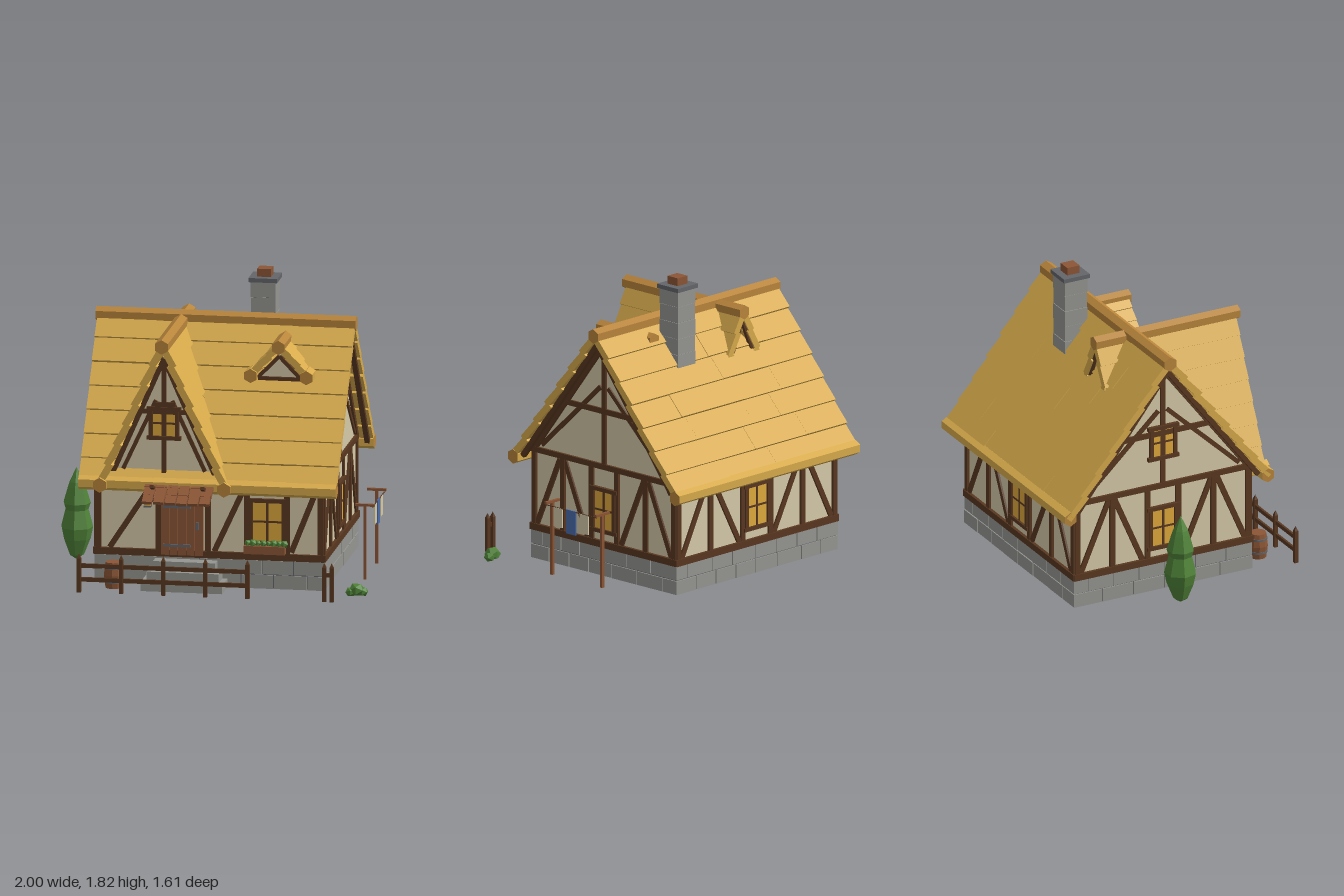
import * as THREE from 'three';

const mat = (name, color) => Object.assign(new THREE.MeshStandardMaterial({ color }), { name });
const M = {
  straw: mat('straw', 0xd8ab4c), ridge: mat('ridgeStraw', 0xb9853b), timber: mat('timber', 0x593820),
  plaster: mat('plaster', 0xd6caa9), stone: mat('stone', 0x959591), dark: mat('darkStone', 0x64666a),
  wood: mat('redWood', 0x8c5636), green: mat('leaves', 0x4f8238), glass: mat('windowGlow', 0xdfa93c),
  blue: mat('blueCloth', 0x4a6bab),
};
let seed = 7;
const rnd = (a, b) => { seed = (seed * 16807) % 2147483647; return a + (b - a) * seed / 2147483647; };

// Hard facets for low-poly shapes
const flat = (g) => { const f = g.index ? g.toNonIndexed() : g; f.computeVertexNormals(); return f; };
function add(parent, name, geo, m, x = 0, y = 0, z = 0) {
  const mesh = new THREE.Mesh(geo, m);
  mesh.name = name;
  mesh.position.set(x, y, z);
  parent.add(mesh);
  return mesh;
}
function group(parent, name, x = 0, y = 0, z = 0) {
  const g = new THREE.Group();
  g.name = name;
  g.position.set(x, y, z);
  parent.add(g);
  return g;
}
const box = (p, name, m, w, h, d, x, y, z) => add(p, name, new THREE.BoxGeometry(w, h, d), m, x, y, z);
// Box running between two points
function beam(p, name, m, a, b, w, d) {
  const A = new THREE.Vector3(...a), B = new THREE.Vector3(...b), dir = B.clone().sub(A);
  const mesh = box(p, name, m, w, dir.length(), d, ...A.clone().add(B).multiplyScalar(0.5).toArray());
  mesh.quaternion.setFromUnitVectors(new THREE.Vector3(0, 1, 0), dir.normalize());
  return mesh;
}
const strut = (p, x1, y1, x2, y2, w = 0.035, d = 0.03) => beam(p, 'timber', M.timber, [x1, y1, 0], [x2, y2, 0], w, d);
// Hexagonal pole along z with end caps in the ridge colour
function hexPole(p, name, m, r, z0, z1, x, y) {
  const g = flat(new THREE.CylinderGeometry(r, r, z1 - z0, 6).rotateX(Math.PI / 2));
  return add(p, name, g, [m, M.ridge, M.ridge], x, y, (z0 + z1) / 2);
}
function prism(p, name, m, pts, depth) {
  const g = new THREE.ExtrudeGeometry(new THREE.Shape(pts.map((q) => new THREE.Vector2(...q))), { depth, bevelEnabled: false });
  return add(p, name, g, m);
}

// Overlapping thatch courses on both slopes, apex at the group origin, ridge along z
function gableRoof(p, name, half, rise, rows, pieces, z0, z1) {
  const g = group(p, name), L = Math.hypot(half, rise), step = L / rows;
  for (const s of [-1, 1]) {
    const slope = group(g, 'slope');
    slope.rotation.z = -s * Math.atan2(rise, half);
    for (let i = 0; i < rows; i++) {
      let a = z0;
      for (let k = 1; k <= pieces; k++) {
        const b = k === pieces ? z1 : z0 + (z1 - z0) * (k + rnd(-0.25, 0.25)) / pieces;
        const c = box(slope, 'thatchCourse', M.straw, step * 1.12, 0.042, b - a, s * step * (i + 0.5), rnd(0, 0.005), (a + b) / 2);
        c.rotation.z = s * 0.1;
        a = b;
      }
    }
  }
  return g;
}

// Window with frame, panes and glazing bars, facing +z
function windowUnit(p, x, y, w, h) {
  const g = group(p, 'window', x, y, 0), f = 0.024;
  box(g, 'panes', M.glass, w, h, 0.008, 0, 0, 0.006);
  for (const s of [-1, 1]) {
    box(g, 'jamb', M.timber, f, h + f, 0.044, s * w / 2, 0, 0);
    box(g, 'rail', M.timber, w + f * 2, f, 0.048, 0, s * h / 2, 0);
  }
  box(g, 'mullion', M.timber, 0.014, h, 0.028, 0, 0, 0);
  box(g, 'crossbar', M.timber, w, 0.012, 0.026, 0, 0, 0);
}

// Timber-framed wall facing +z with stone courses at its foot
function wall(p, name, half, rot, x, z, posts, braces) {
  const g = group(p, name, x, 0, z);
  g.rotation.y = rot;
  box(g, 'sill', M.timber, half * 2 + 0.03, 0.042, 0.04, 0, 0.208, 0);
  box(g, 'topPlate', M.timber, half * 2 + 0.02, 0.034, 0.034, 0, 0.693, 0);
  for (const h of [-half + 0.012, half - 0.012, ...posts]) strut(g, h, 0.2, h, 0.69);
  for (const b of braces) strut(g, ...b, 0.034, 0.024);
  for (let r = 0; r < 2; r++) {
    const end = half + 0.014;
    for (let a = -end, n = 0; a < end - 0.001; n++) {
      let b = a + (n === 0 && r ? 0.1 : rnd(0.15, 0.22));
      if (end - b < 0.07) b = end;
      box(g, 'foundationStone', M.stone, b - a - 0.006, 0.084, 0.04, (a + b) / 2, 0.053 + r * 0.09, rnd(-0.009, -0.005));
      a = b;
    }
  }
  return g;
}

function gableTimbers(g) {
  strut(g, 0, 0.7, 0, 1.47, 0.032);
  strut(g, -0.32, 1.04, 0.32, 1.04, 0.034, 0.026);
  for (const s of [-1, 1]) {
    strut(g, s * 0.58, 0.7, 0, 1.46, 0.035, 0.032);
    strut(g, s * 0.52, 0.73, s * 0.03, 1.19, 0.028, 0.022);
  }
}

function post(p, x, h, z) {
  box(p, 'fencePost', M.timber, 0.024, h - 0.03, 0.024, x, (h - 0.03) / 2 + 0.01, z);
  const tip = flat(new THREE.ConeGeometry(0.017, 0.03, 4).rotateY(Math.PI / 4));
  add(p, 'postTip', tip, M.timber, x, h - 0.005, z);
}

export function createModel() {
  const model = new THREE.Group();
  model.name = 'cottage';
  const CX = 0.01, CZ = -0.09, Q = Math.PI / 2;

  // Body and foundation core
  const body = prism(model, 'body', M.plaster, [[-0.595, 0.008], [0.595, 0.008], [0.595, 0.68], [0, 1.47], [-0.595, 0.68]], 1.38);
  body.rotation.y = Q;
  body.position.set(CX - 0.69, 0, CZ);
  box(model, 'foundationCore', M.dark, 1.39, 0.174, 1.2, CX, 0.1, CZ);

  // Four framed walls
  const sidePosts = [-0.345, -0.105, 0.105, 0.345];
  const sideBraces = [-1, 1].flatMap((s) => [[s * 0.56, 0.23, s * 0.37, 0.67], [s * 0.33, 0.67, s * 0.14, 0.23]]);
  const front = wall(model, 'frontWall', 0.69, 0, CX, 0.505, [-0.31, -0.01, 0.23, 0.475],
    [[-0.61, 0.23, -0.37, 0.6], [0.03, 0.23, 0.21, 0.62], [0.5, 0.24, 0.65, 0.62]]);
  const back = wall(model, 'backWall', 0.69, Math.PI, CX, -0.685, [-0.4, -0.12, 0.12, 0.4],
    [-1, 1].flatMap((s) => [[s * 0.65, 0.23, s * 0.43, 0.66], [s * 0.38, 0.66, s * 0.15, 0.23]]));
  windowUnit(back, 0, 0.43, 0.19, 0.27);
  for (const s of [-1, 1]) {
    const g = wall(model, s > 0 ? 'leftWall' : 'rightWall', 0.595, s * Q, CX + s * 0.69, CZ, sidePosts, sideBraces);
    gableTimbers(g);
    windowUnit(g, 0, 0.42, 0.175, 0.26);
    if (s < 0) windowUnit(g, 0, 0.98, 0.16, 0.2);
  }
  windowUnit(front, 0.355, 0.425, 0.2, 0.26);

  // Flower box
  box(model, 'flowerBox', M.wood, 0.25, 0.05, 0.055, 0.355, 0.26, 0.55);
  for (let i = 0; i < 8; i++) {
    const r = rnd(0.018, 0.026);
    add(model, 'boxPlant', flat(new THREE.IcosahedronGeometry(r, 0)), M.green, 0.25 + i * 0.032, 0.298, 0.55);
  }

  // Door with planks, hinges and handle
  const door = group(model, 'door', -0.155, 0, 0.52);
  for (let i = 0; i < 5; i++) box(door, 'doorPlank', M.wood, 0.05, 0.36, 0.02, (i - 2) * 0.052, 0.38, 0.002);
  box(door, 'lintel', M.timber, 0.32, 0.03, 0.035, 0, 0.57, 0);
  for (const y of [0.5, 0.26]) box(door, 'hinge', M.dark, 0.17, 0.016, 0.008, -0.03, y, 0.015);
  box(door, 'handle', M.dark, 0.016, 0.045, 0.02, 0.095, 0.385, 0.018);

  // Steps
  for (let i = 0; i < 3; i++)
    box(model, 'step', M.stone, 0.5 - i * 0.06, 0.055, 0.2 - i * 0.05, -0.13, 0.037 + i * 0.055, 0.6 - i * 0.025);

  // Porch canopy with tiles
  const canopy = group(model, 'canopy');
  for (let r = 0; r < 3; r++) for (let i = 0; i < 6; i++) {
    const t = box(canopy, 'tile', M.wood, rnd(0.06, 0.068), 0.02, 0.095, -0.33 + i * 0.07, 0.587 + r * 0.033 + rnd(0, 0.006), 0.725 - r * 0.065);
    t.rotation.x = 0.45;
  }
  for (const x of [-0.31, 0.0]) {
    beam(canopy, 'bracket', M.timber, [x, 0.52, 0.51], [x, 0.58, 0.69], 0.024, 0.02);
    beam(canopy, 'upperBracket', M.timber, [x, 0.61, 0.58], [x, 0.665, 0.72], 0.022, 0.018);
  }

  // Lantern
  box(model, 'lanternGlow', M.glass, 0.034, 0.045, 0.034, -0.355, 0.535, 0.58);
  for (const y of [0.51, 0.562]) box(model, 'lanternFrame', M.dark, 0.044, 0.009, 0.044, -0.355, y, 0.58);
  box(model, 'lanternArm', M.timber, 0.014, 0.014, 0.08, -0.355, 0.575, 0.55);

  // Main roof, ridge and eaves
  const roof = group(model, 'mainRoof', 0, 1.53, CZ);
  roof.rotation.y = Q;
  gableRoof(roof, 'mainThatch', 0.675, 0.885, 7, 4, -0.775, 0.798);
  hexPole(roof, 'ridge', M.ridge, 0.046, -0.785, 0.805, 0, 0);
  for (const s of [-1, 1]) {
    hexPole(roof, 'eave', M.straw, 0.046, -0.775, 0.8, s * 0.675, -0.885);
    for (const z of [-0.74, 0.765])
      beam(roof, 'rafter', M.timber, [s * 0.62, -0.875, z], [0, -0.06, z], 0.03, 0.03);
  }

  // Large front gable
  const gable = group(model, 'frontGable', -0.26, 1.51, 0);
  gableRoof(gable, 'gableThatch', 0.38, 0.87, 7, 2, -0.33, 0.625);
  hexPole(gable, 'gableRidge', M.ridge, 0.045, -0.335, 0.65, 0, 0);
  for (const s of [-1, 1]) hexPole(gable, 'gableEave', M.straw, 0.046, 0.38, 0.645, s * 0.38, -0.87);
  prism(gable, 'gableWall', M.plaster, [[-0.325, -0.82], [0.325, -0.82], [0, -0.075]], 0.4).position.z = 0.15;
  const gf = group(gable, 'gableFrame', 0, -1.51, 0.55);
  strut(gf, 0, 0.7, 0, 1.42, 0.028);
  strut(gf, -0.14, 1.09, 0.14, 1.09, 0.028, 0.026);
  for (const s of [-1, 1]) {
    strut(gf, s * 0.315, 0.7, 0, 1.42, 0.03, 0.034);
    strut(gf, s * 0.25, 0.73, s * 0.05, 1.16, 0.024, 0.022);
    beam(gable, 'backRafter', M.timber, [s * 0.11, -0.31, -0.31], [0, -0.05, -0.31], 0.02, 0.02);
  }
  windowUnit(gf, 0, 1.02, 0.16, 0.18);
  strut(gf, -0.07, 1.13, 0.07, 1.13, 0.04, 0.034);

  // Small dormer
  const dormer = group(model, 'dormer', 0.385, 1.44, 0);
  gableRoof(dormer, 'dormerThatch', 0.17, 0.18, 3, 1, -0.18, 0.235);
  hexPole(dormer, 'dormerRidge', M.ridge, 0.044, -0.2, 0.25, 0, 0);
  for (const s of [-1, 1]) hexPole(dormer, 'dormerEave', M.straw, 0.044, 0, 0.25, s * 0.17, -0.18);
  prism(dormer, 'dormerWall', M.plaster, [[-0.14, -0.21], [0.14, -0.21], [0, -0.05]], 0.2);
  const df = group(dormer, 'dormerFrame', 0, 0, 0.2);
  strut(df, -0.13, -0.2, 0.13, -0.2, 0.022);
  for (const s of [-1, 1]) strut(df, s * 0.13, -0.195, 0, -0.06, 0.022, 0.034);

  // Chimney
  const chimney = group(model, 'chimney', 0.222, 0, -0.236);
  for (let i = 0; i < 6; i++) {
    const w = 0.149 + (i % 2) * 0.004;
    box(chimney, 'chimneyCourse', M.stone, w, 0.098, w, 0, 1.2 + i * 0.1, 0);
  }
  box(chimney, 'chimneyCore', M.dark, 0.142, 0.6, 0.142, 0, 1.45, 0);
  box(chimney, 'chimneyCap', M.dark, 0.176, 0.026, 0.176, 0, 1.758, 0);
  box(chimney, 'chimneyPot', M.wood, 0.085, 0.05, 0.085, 0, 1.795, 0);

  // Fence and gate posts
  const fence = group(model, 'fence');
  for (let i = 0; i < 5; i++) post(fence, -0.74 + i * 0.2575, 0.24, 0.79);
  for (const x of [0.76, 0.805]) post(fence, x, 0.24, 0.79);
  for (const y of [0.09, 0.175]) box(fence, 'fenceRail', M.timber, 1.03, 0.026, 0.014, -0.225, y, 0.79);
  box(fence, 'gateRail', M.timber, 0.045, 0.026, 0.014, 0.782, 0.175, 0.79);

  // Barrel
  const V = (pts) => pts.map((q) => new THREE.Vector2(...q));
  add(model, 'barrel', flat(new THREE.LatheGeometry(V([[0, 0.01], [0.05, 0.01], [0.06, 0.09], [0.05, 0.17], [0, 0.17]]), 10)), M.wood, -0.555, 0, 0.632);
  for (const y of [0.05, 0.135]) add(model, 'barrelHoop', new THREE.CylinderGeometry(0.059, 0.059, 0.012, 10), M.dark, -0.555, y, 0.632);

  // Tall tree and bush
  const treeProfile = V([[0, 0], [0.045, 0.03], [0.085, 0.13], [0.1, 0.2], [0.072, 0.31], [0.085, 0.35], [0.055, 0.45], [0.045, 0.48], [0, 0.57]]);
  add(model, 'tree', flat(new THREE.LatheGeometry(treeProfile, 7)), M.green, -0.905, 0.005, -0.085);
  const bush = group(model, 'bush', 0.93, 0.01, 0.63);
  for (const [x, y, z, r] of [[0, 0.045, 0, 0.05], [-0.035, 0.032, 0.01, 0.035], [0.035, 0.032, -0.01, 0.036]])
    add(bush, 'leafClump', flat(new THREE.IcosahedronGeometry(r, 0)), M.green, x, y, z).scale.y = 0.85;

  // Clothes line
  const line = group(model, 'clothesLine');
  for (const z of [0.16, -0.257]) {
    box(line, 'linePost', M.wood, 0.018, 0.46, 0.018, 0.9, 0.24, z);
    box(line, 'lineArm', M.wood, 0.118, 0.015, 0.018, 0.9, 0.468, z);
  }
  box(line, 'rope', M.timber, 0.005, 0.005, 0.417, 0.947, 0.455, -0.049);
  for (const [m, z, w, y, h] of [[M.plaster, 0.065, 0.07, 0.395, 0.12], [M.blue, -0.043, 0.08, 0.385, 0.15], [M.plaster, -0.152, 0.07, 0.395, 0.12]])
    box(line, 'cloth', m, 0.008, h, w, 0.947, y, z);

  return model;
}
